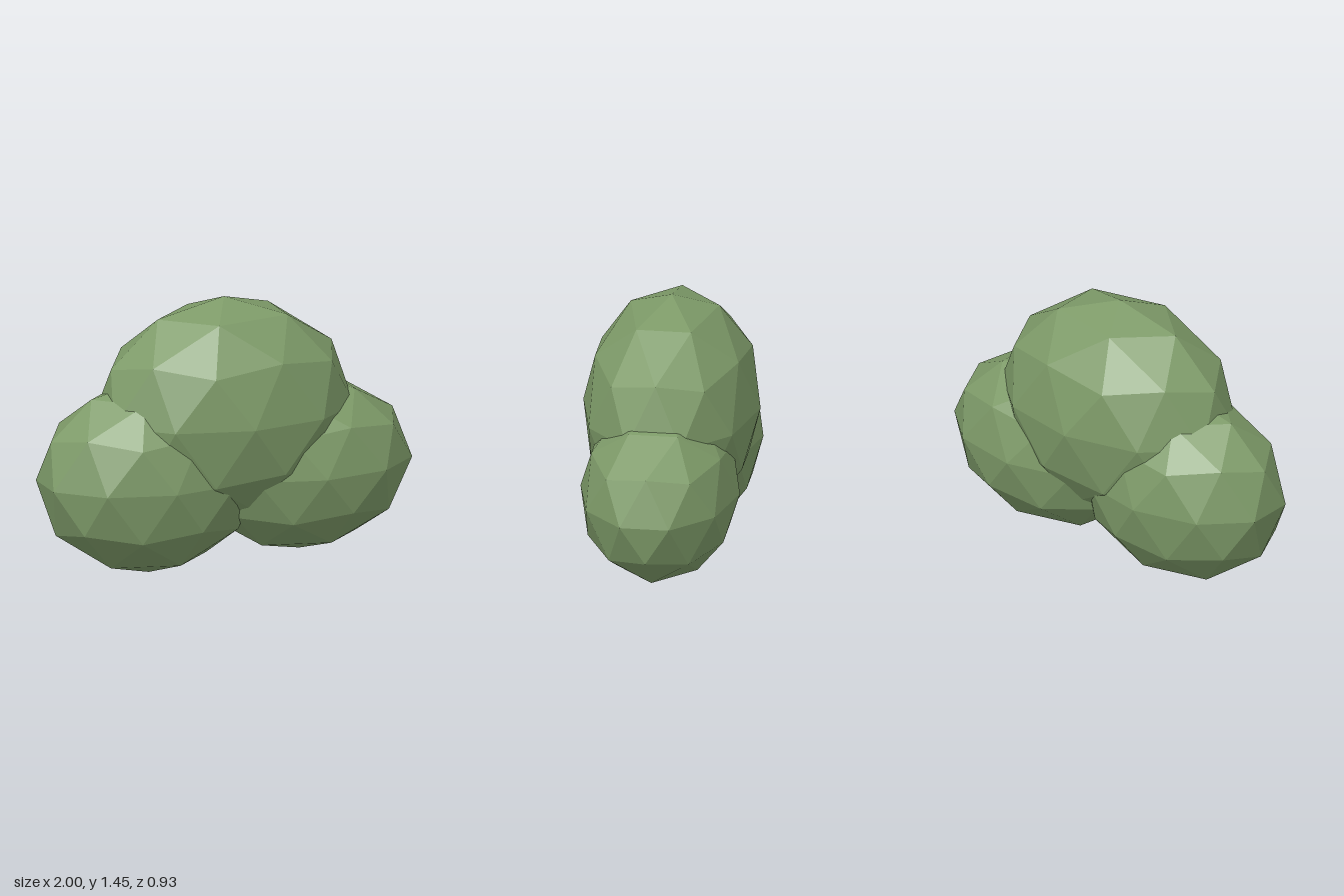
import * as THREE from 'three';

export function createModel() {
  const group = new THREE.Group();
  group.name = 'bush';
  const leaves = new THREE.MeshStandardMaterial({ color: 0x7d9a68, flatShading: true });

  // Faceted ball with a corner at its top and bottom, stretched to the given radii
  function addClump(name, center, radii) {
    const geometry = new THREE.IcosahedronGeometry(1, 1);
    geometry.rotateZ(Math.PI / 2 - Math.atan((1 + Math.sqrt(5)) / 2));
    geometry.scale(...radii);
    geometry.computeVertexNormals();
    const clump = new THREE.Mesh(geometry, leaves);
    clump.name = name;
    clump.position.set(...center);
    group.add(clump);
  }

  addClump('topClump', [0, 0.84, 0], [0.705, 0.61, 0.467]);
  addClump('rightClump', [-0.42, 0.52, 0], [0.61, 0.52, 0.42]);
  addClump('leftClump', [0.42, 0.52, 0], [0.61, 0.47, 0.42]);

  return group;
}
